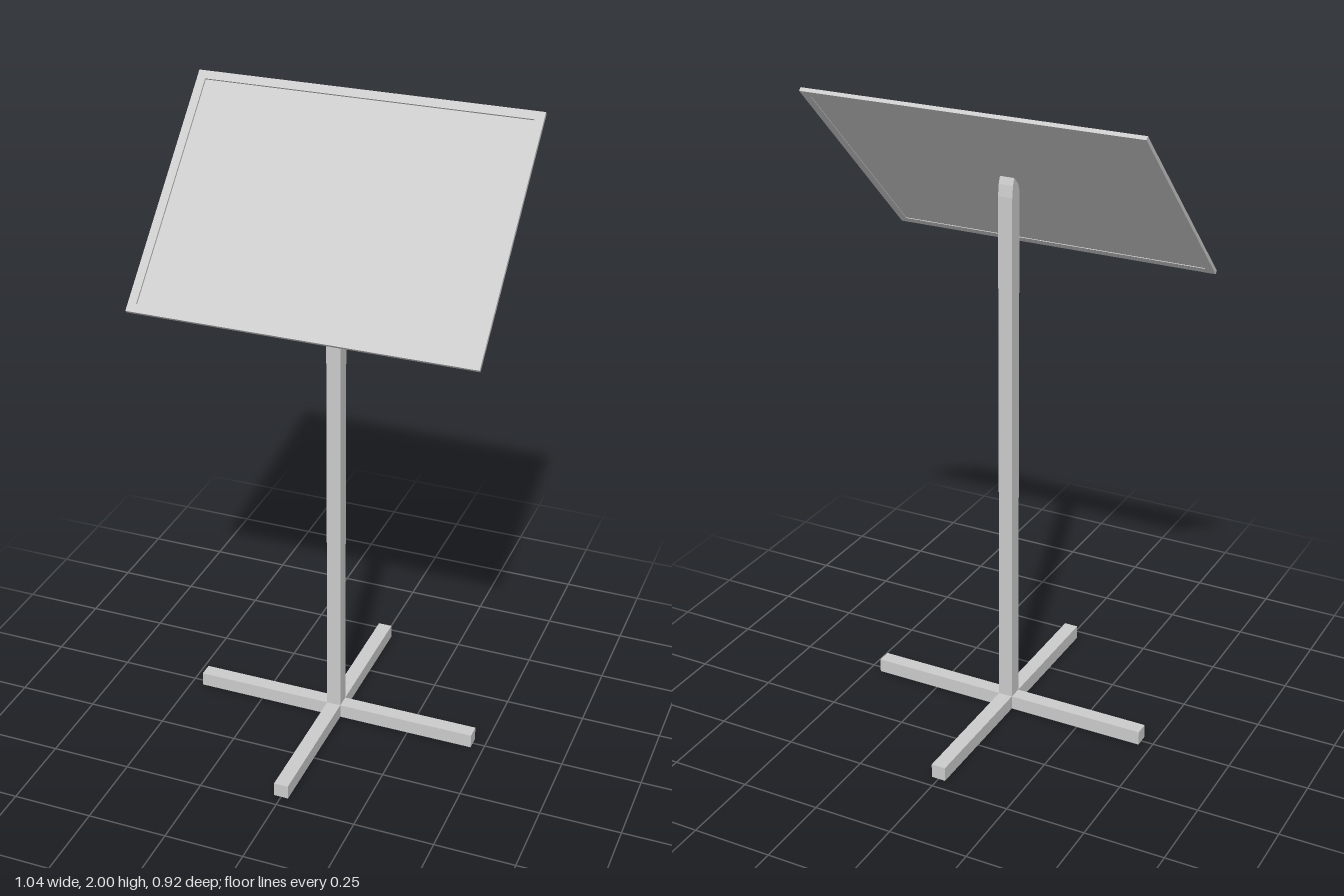
import * as THREE from 'three';

const W = 0.045;      // bar thickness
const SPAN = 0.922;   // length of a floor bar
const BOARD = { w: 1.045, h: 0.765, t: 0.012, border: 0.026 };

export function createModel() {
  const group = new THREE.Group();
  const mat = new THREE.MeshStandardMaterial({ color: 0xcccccc, flatShading: true });
  const add = (parent, name, geometry, x = 0, y = 0, z = 0) => {
    const mesh = new THREE.Mesh(geometry, mat);
    mesh.name = name;
    mesh.position.set(x, y, z);
    parent.add(mesh);
    return mesh;
  };

  // Cross base: one through bar and two half bars butted against it
  add(group, 'baseBar', new THREE.BoxGeometry(W, W, SPAN), 0, W / 2, 0);
  const half = (SPAN - W) / 2;
  for (const s of [-1, 1]) {
    add(group, s > 0 ? 'baseArmLeft' : 'baseArmRight',
      new THREE.BoxGeometry(half, W, W), s * (W + half) / 2, W / 2, 0);
  }

  // Post: side profile (z, y) with a bevelled tip under the board, extruded across x
  const h = W / 2;
  const profile = [[-h, W], [h, W], [h, 1.705], [0.014, 1.728], [-0.005, 1.75],
    [-0.011, 1.751], [-0.018, 1.73], [-h, 1.695]];
  const post = new THREE.ExtrudeGeometry(
    new THREE.Shape(profile.map(([z, y]) => new THREE.Vector2(z, y))),
    { depth: W, bevelEnabled: false });
  post.translate(0, 0, -h).rotateY(-Math.PI / 2);
  add(group, 'post', post);

  // Tilted board: raised frame around a thinner panel
  const board = new THREE.Group();
  board.name = 'board';
  board.position.set(0, 1.725, 0.023);
  board.rotation.x = -Math.PI / 4;
  group.add(board);

  const rect = (Type, w, ht) => new Type([[-1, -1], [1, -1], [1, 1], [-1, 1]]
    .map(([x, y]) => new THREE.Vector2(x * w / 2, y * ht / 2)));
  const iw = BOARD.w - 2 * BOARD.border;
  const ih = BOARD.h - 2 * BOARD.border;
  const outline = rect(THREE.Shape, BOARD.w, BOARD.h);
  outline.holes.push(rect(THREE.Path, iw, ih));
  add(board, 'boardFrame',
    new THREE.ExtrudeGeometry(outline, { depth: BOARD.t, bevelEnabled: false }),
    0, 0, -BOARD.t / 2);
  add(board, 'boardPanel', new THREE.BoxGeometry(iw, ih, 0.004), 0, 0, -0.002);

  return group;
}
